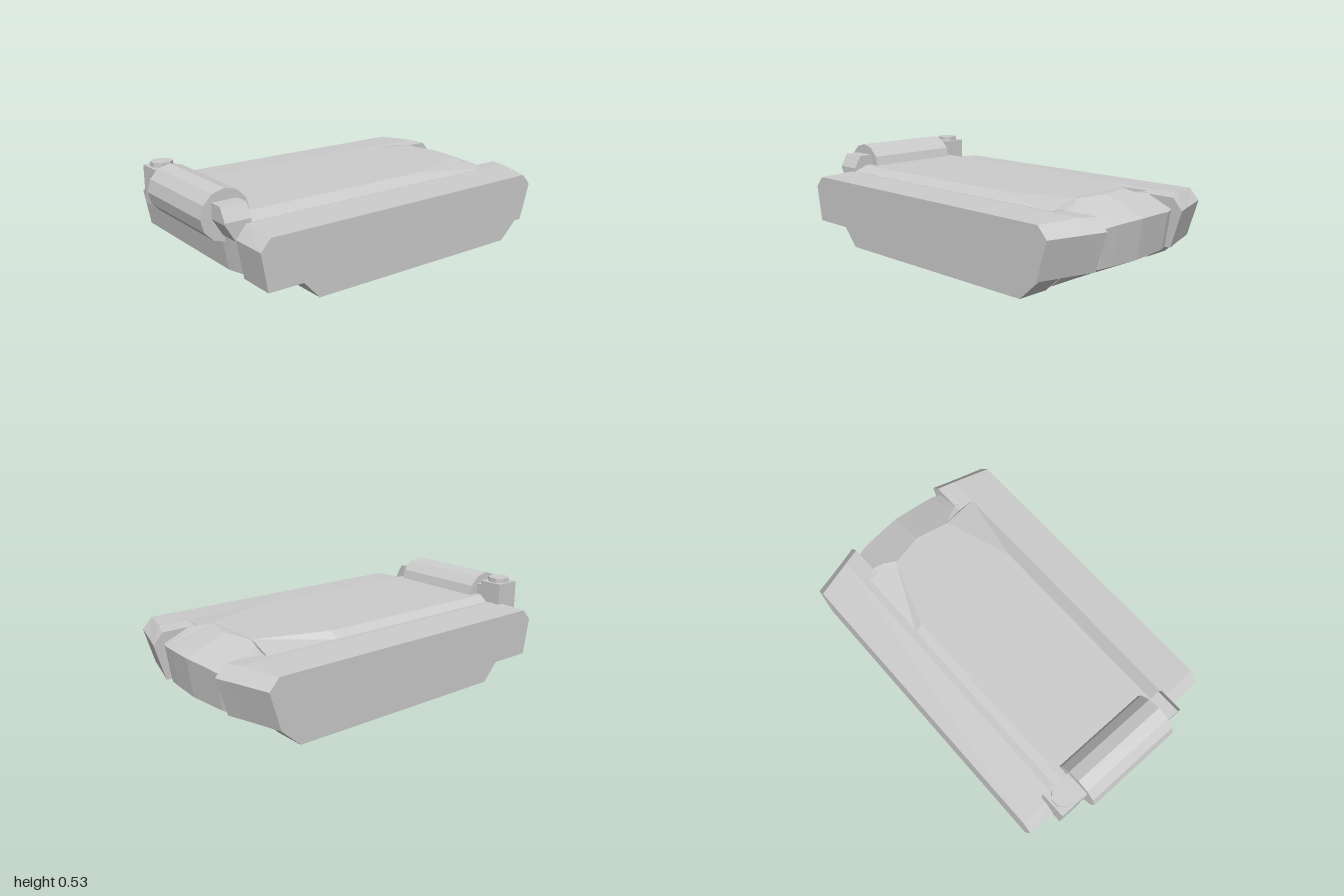
import * as THREE from 'three';

const material = new THREE.MeshStandardMaterial({ color: 0xcccccc, flatShading: true });

function addMesh(parent, geometry, name) {
  const mesh = new THREE.Mesh(geometry, material);
  mesh.name = name;
  parent.add(mesh);
  return mesh;
}

// Closed solid through rings of [x, y, z] points, turned to face outward
function loft(rings) {
  const tris = [];
  const n = rings[0].length;
  for (let i = 0; i < rings.length - 1; i++) {
    for (let j = 0; j < n; j++) {
      const k = (j + 1) % n;
      const a = rings[i][j], b = rings[i][k], c = rings[i + 1][k], d = rings[i + 1][j];
      tris.push([a, b, c], [a, c, d]);
    }
  }
  const last = rings[rings.length - 1];
  for (let j = 1; j < n - 1; j++) {
    tris.push([rings[0][0], rings[0][j + 1], rings[0][j]], [last[0], last[j], last[j + 1]]);
  }
  let volume = 0;
  for (const [a, b, c] of tris) {
    volume += new THREE.Vector3(...a).dot(new THREE.Vector3(...b).cross(new THREE.Vector3(...c)));
  }
  if (volume < 0) tris.forEach((t) => t.reverse());
  const geometry = new THREE.BufferGeometry();
  geometry.setAttribute('position', new THREE.Float32BufferAttribute(tris.flat(2), 3));
  geometry.computeVertexNormals();
  return geometry;
}

// Places a [z, y] profile at a given x
const atX = (x, profile) => profile.map(([z, y]) => [x, y, z]);

export function createModel() {
  const model = new THREE.Group();
  model.name = 'lowHull';

  // Central hull: side profiles lofted across the width, rear edge bowed
  const hullSection = (x, front, rear, lipZ, lipY, rearY) => atX(x, [
    [0.6, 0.02], [front - 0.04, 0.11], [front, 0.33], [0.8, 0.37],
    [lipZ, lipY], [rear, rearY], [rear + 0.03, 0.11], [-0.76, 0.025],
  ]);
  addMesh(model, loft([
    hullSection(-0.405, 0.89, -0.88, -0.8, 0.37, 0.31),
    hullSection(-0.3, 0.89, -0.94, -0.79, 0.375, 0.31),
    hullSection(-0.24, 0.89, -0.96, -0.77, 0.385, 0.31),
    hullSection(-0.18, 0.89, -0.965, -0.72, 0.407, 0.315),
    hullSection(0, 0.89, -0.98, -0.76, 0.407, 0.32),
    hullSection(0.18, 0.89, -0.965, -0.72, 0.407, 0.315),
    hullSection(0.26, 0.89, -0.955, -0.77, 0.385, 0.31),
    hullSection(0.3, 0.88, -0.94, -0.79, 0.375, 0.31),
    hullSection(0.405, 0.85, -0.88, -0.8, 0.37, 0.31),
  ]), 'centralHull');

  // Raised deck: steep right shoulder, gentle left one, corners dropping at the rear
  const deckSection = (z, zEdge, top, y) => [
    [-0.365, 0.34, zEdge], [-0.365, 0.375, zEdge], [-top, y, z],
    [top, y, z], [0.4, 0.38, zEdge], [0.4, 0.34, zEdge],
  ];
  addMesh(model, loft([
    deckSection(0.82, 0.82, 0.32, 0.41),
    deckSection(-0.33, -0.33, 0.32, 0.41),
    deckSection(-0.72, -0.75, 0.19, 0.41),
  ]), 'deck');

  for (const [side, s] of [['left', 1], ['right', -1]]) {
    // Side pods, sweeping back toward the middle at the rear
    const podSection = (x, front, rear, topY) => atX(s * x, [
      [front - 0.035, 0.11], [front, 0.31], [front - 0.055, topY],
      [rear + 0.055, topY], [rear, 0.31], [rear + 0.06, 0.11],
    ]);
    addMesh(model, loft([
      podSection(0.61, 0.885, -0.91, 0.37),
      podSection(0.4, 0.885, -0.97, 0.379),
      podSection(0.305, 0.8, -1.0, 0.372),
    ]), side + 'SidePod');

    // Lower runners under the pods
    const runner = [[0.55, 0], [0.66, 0.12], [-0.86, 0.12], [-0.73, 0]];
    addMesh(model, loft([atX(s * 0.41, runner), atX(s * 0.587, runner)]), side + 'Runner');
  }

  // Front bracket carrying the drum, chamfered at its left end
  const bracketSection = (x, topY) => atX(x, [
    [0.8, 0.3], [0.8, topY], [0.94, topY], [0.94, 0.39], [0.885, 0.3],
  ]);
  addMesh(model, loft([
    bracketSection(-0.34, 0.47), bracketSection(0.36, 0.47), bracketSection(0.4, 0.4),
  ]), 'frontBracket');

  // Drum across the front
  const drum = addMesh(model, new THREE.CylinderGeometry(0.132, 0.132, 0.565, 12), 'frontDrum');
  drum.rotation.z = Math.PI / 2;
  drum.position.set(-0.002, 0.396, 0.868);

  // Block with an eight-sided cap beside the drum
  const block = addMesh(model, new THREE.BoxGeometry(0.138, 0.205, 0.145), 'capBlock');
  block.position.set(-0.387, 0.393, 0.867);
  const cap = addMesh(model, new THREE.CylinderGeometry(0.06, 0.06, 0.04, 8), 'cap');
  cap.rotation.y = Math.PI / 8;
  cap.position.set(-0.387, 0.5, 0.867);

  return model;
}
